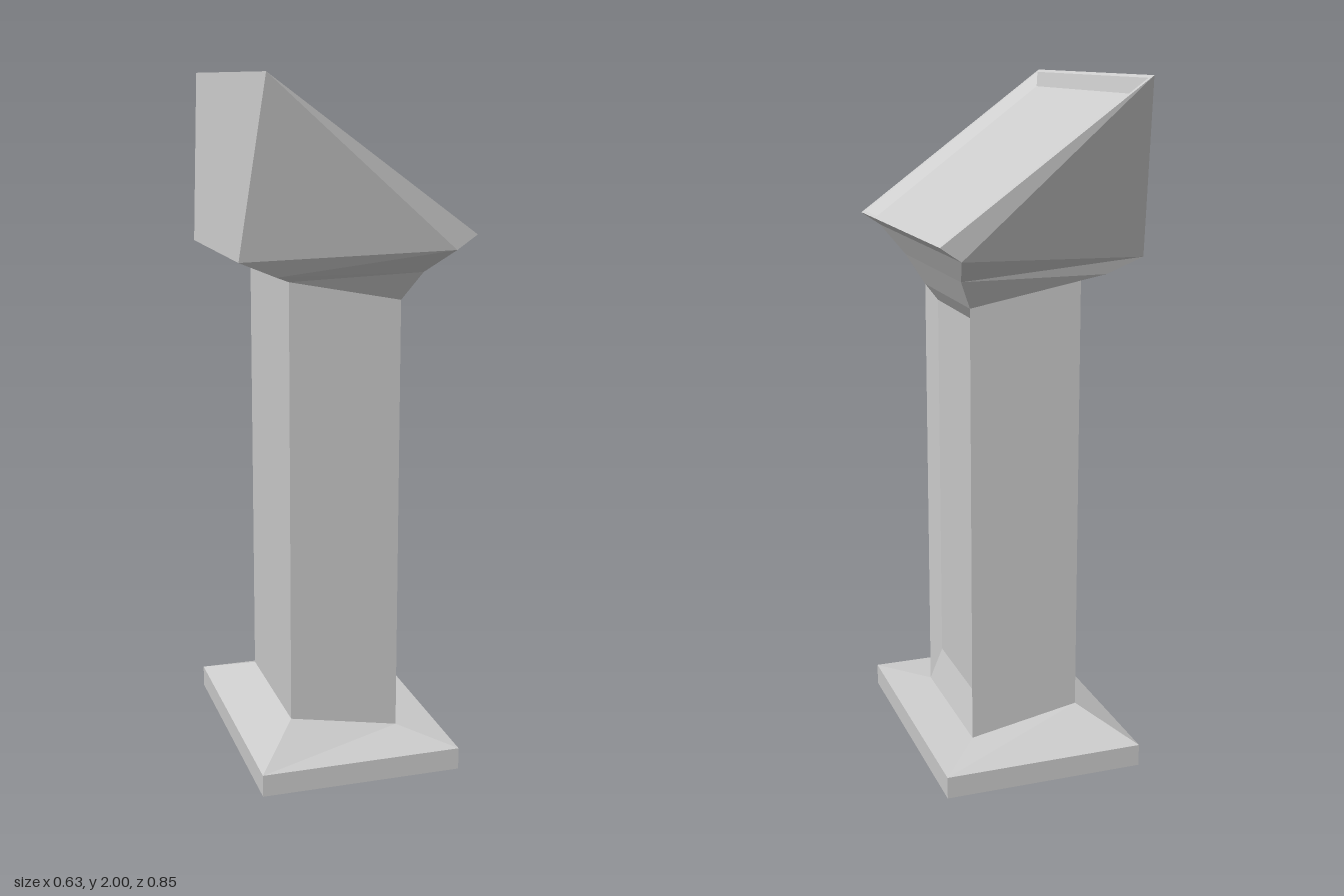
import * as THREE from 'three';

const material = new THREE.MeshStandardMaterial({ color: 0xcccccc, flatShading: true });

// Four corners, counter-clockwise from above: back pair (-x) and front pair (+x)
const ring = (xb, yb, zb, xf, yf, zf) => [[xb, yb, zb], [xf, yf, zf], [xf, yf, -zf], [xb, yb, -zb]];

// Upright four corners, counter-clockwise from +x
const upright = (x, y0, y1, z) => [[x, y0, z], [x, y0, -z], [x, y1, -z], [x, y1, z]];

// Skin successive rings; optional caps and one side left open
function loft(name, rings, { bottom = false, top = false, openSide = -1 } = {}) {
  const positions = [];
  const same = (p, q) => p.every((v, i) => Math.abs(v - q[i]) < 1e-6);
  const tri = (a, b, c) => {
    if (!same(a, b) && !same(b, c) && !same(a, c)) positions.push(...a, ...b, ...c);
  };
  // Quad split along its a-c diagonal
  const quad = (a, b, c, d) => { tri(a, b, c); tri(a, c, d); };
  for (let r = 0; r < rings.length - 1; r++) {
    const a = rings[r], b = rings[r + 1];
    for (let i = 0; i < 4; i++) {
      const j = (i + 1) % 4;
      if (i !== openSide) quad(a[i], a[j], b[j], b[i]);
    }
  }
  if (bottom) quad(...[...rings[0]].reverse());
  if (top) quad(...rings[rings.length - 1]);
  const geometry = new THREE.BufferGeometry();
  geometry.setAttribute('position', new THREE.Float32BufferAttribute(positions, 3));
  geometry.computeVertexNormals();
  const mesh = new THREE.Mesh(geometry, material);
  mesh.name = name;
  return mesh;
}

export function createModel() {
  const group = new THREE.Group();
  group.name = 'lectern';

  const columnFoot = ring(-0.157, 0.14, 0.22, 0.171, 0.079, 0.22);
  const columnHead = ring(-0.157, 1.438, 0.22, 0.171, 1.375, 0.22);
  const deskFoot = ring(-0.315, 1.505, 0.29, 0.257, 1.535, 0.42);

  group.add(
    // Slab with a sloped skirt
    loft('base', [
      ring(-0.29, 0, 0.4, 0.304, 0, 0.4),
      ring(-0.29, 0.065, 0.4, 0.304, 0.065, 0.4),
      columnFoot,
    ], { bottom: true }),

    // Shaft, with the front filled by a bevelled recess
    loft('column', [columnFoot, columnHead], { openSide: 1 }),
    loft('columnFrontPanel', [
      upright(0.171, 0.079, 1.375, 0.22),
      upright(0.141, 0.19, 1.33, 0.187),
    ], { top: true }),

    // Flared neck
    loft('neck', [
      columnHead,
      ring(-0.208, 1.46, 0.28, 0.215, 1.46, 0.28),
      deskFoot,
    ]),

    // Slanted desk with a thin rim and sunken reading surface
    loft('desk', [
      deskFoot,
      ring(-0.27, 2, 0.427, 0.257, 1.535, 0.42),
      ring(-0.27, 2, 0.427, 0.315, 1.575, 0.42),
      ring(-0.26, 1.993, 0.412, 0.306, 1.58, 0.405),
      ring(-0.248, 1.95, 0.387, 0.284, 1.56, 0.38),
    ], { top: true }),
  );
  return group;
}
